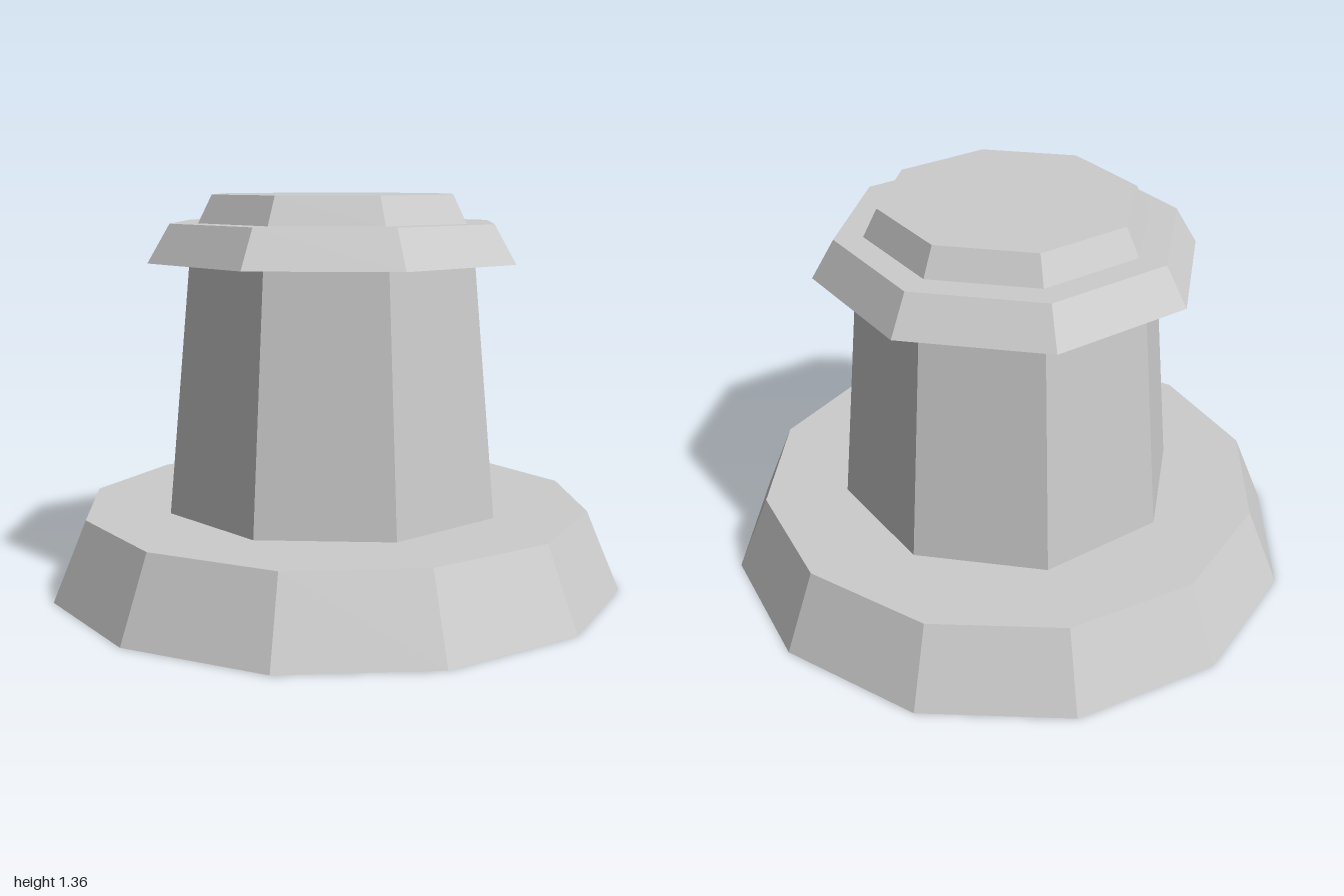
import * as THREE from 'three';

const stone = new THREE.MeshStandardMaterial({ color: 0xcccccc, flatShading: true, side: THREE.DoubleSide });
stone.name = 'lightGrey';

// Faceted solid of revolution from a bottom-to-top profile of [radius, height]
function faceted(name, sides, profile) {
  const points = profile.map(([r, y]) => new THREE.Vector2(r, y));
  const mesh = new THREE.Mesh(new THREE.LatheGeometry(points, sides), stone);
  mesh.name = name;
  return mesh;
}

export function createModel() {
  const group = new THREE.Group();
  group.name = 'pedestal';
  group.add(
    // Twelve-sided foot, hollow underneath
    faceted('base', 12, [[1, 0], [0.885, 0.275], [0, 0.275]]),
    // Tapered eight-sided shaft
    faceted('column', 8, [[0.595, 0.275], [0.515, 1.13]]),
    // Overhanging collar with a closed underside
    faceted('collar', 8, [[0, 1.13], [0.657, 1.13], [0.58, 1.26], [0, 1.26]]),
    // Small top step
    faceted('cap', 8, [[0.483, 1.26], [0.435, 1.355], [0, 1.355]])
  );
  return group;
}
